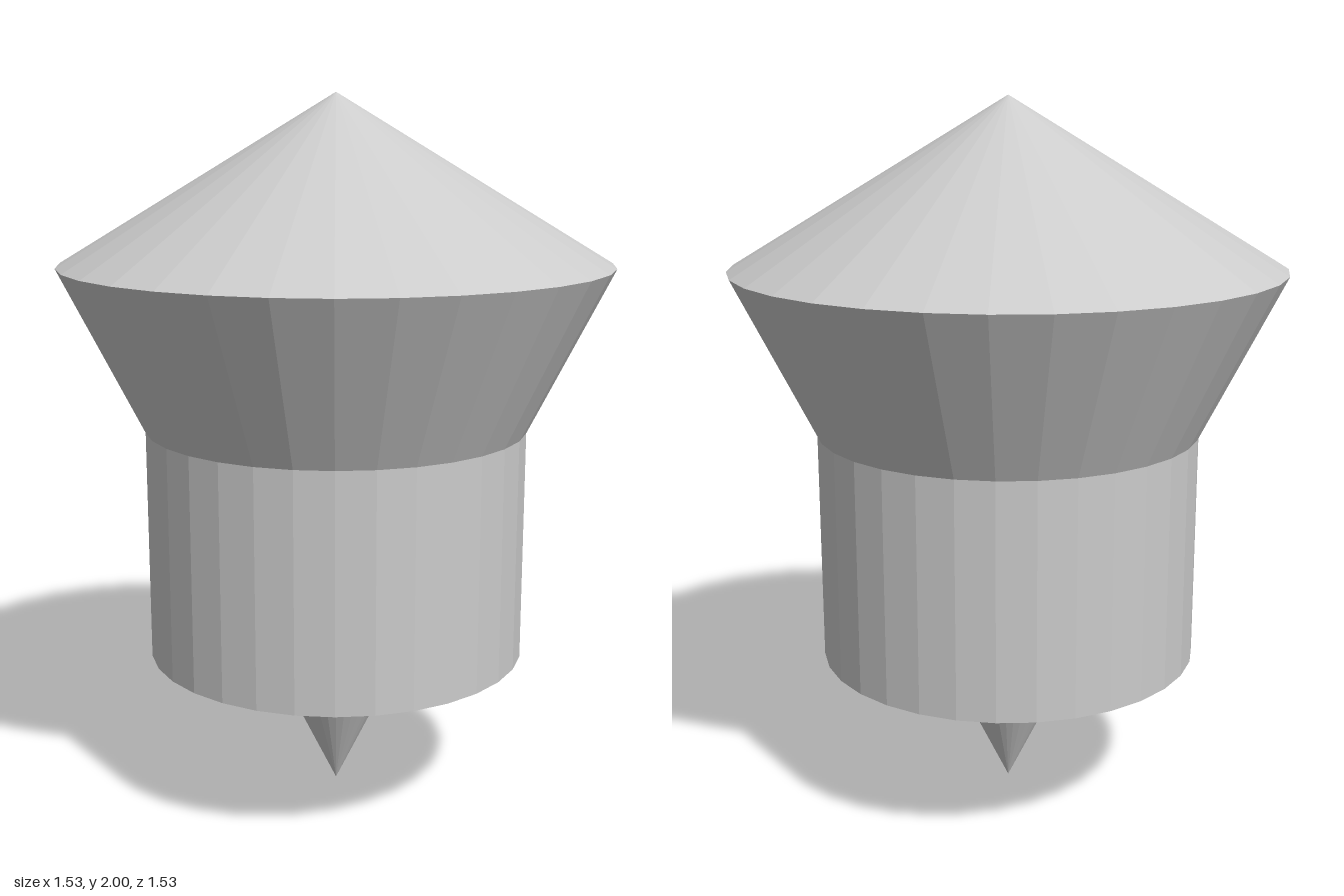
import * as THREE from 'three';

const SIDES = 32;
const material = new THREE.MeshStandardMaterial({ color: 0xcccccc, flatShading: true });

// Open faceted band between two heights; a zero radius makes a point.
function band(name, rTop, rBottom, yTop, yBottom) {
  const geometry = new THREE.CylinderGeometry(rTop, rBottom, yTop - yBottom, SIDES, 1, true);
  const mesh = new THREE.Mesh(geometry, material);
  mesh.name = name;
  mesh.position.y = (yTop + yBottom) / 2;
  return mesh;
}

export function createModel() {
  const group = new THREE.Group();
  group.name = 'pointedPlug';

  const rimRadius = 0.765, bodyRadius = 0.537, spikeRadius = 0.207;
  const rimY = 1.54, neckY = 1.082, baseY = 0.426;

  group.add(
    band('roofCone', 0, rimRadius, 2, rimY),
    band('flaredCollar', rimRadius, bodyRadius, rimY, neckY),
    band('body', bodyRadius, bodyRadius, neckY, baseY),
    band('spike', spikeRadius, 0, baseY, 0),
  );

  // Flat underside around the spike, facing down
  const underside = new THREE.Mesh(new THREE.RingGeometry(spikeRadius, bodyRadius, SIDES), material);
  underside.name = 'underside';
  underside.rotation.x = Math.PI / 2;
  underside.position.y = baseY;
  group.add(underside);

  return group;
}
